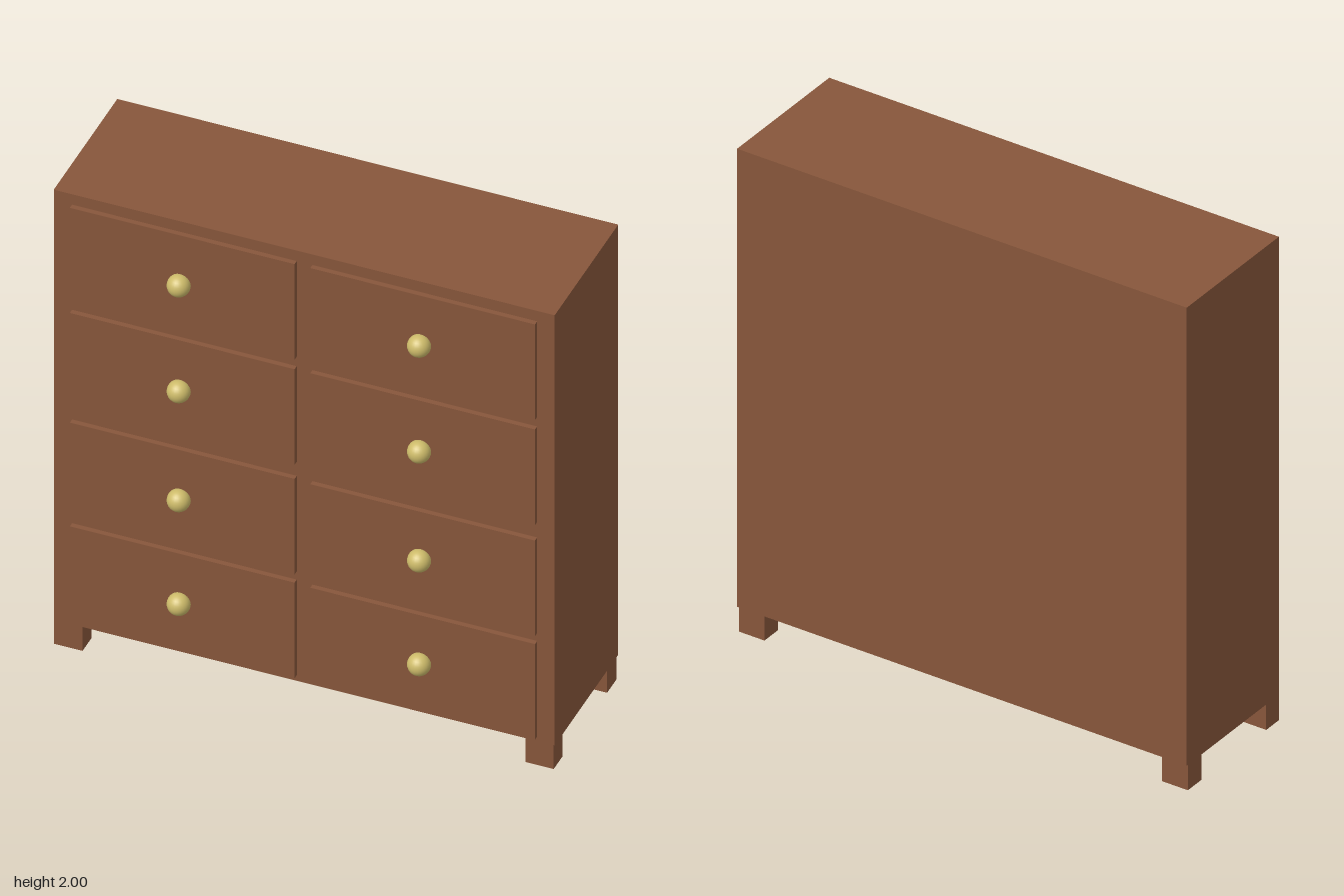
import * as THREE from 'three';

export function createModel() {
  const model = new THREE.Group();
  model.name = 'chestOfDrawers';

  const wood = new THREE.MeshStandardMaterial({ color: 0x87563b });
  wood.name = 'brown wood';
  const brass = new THREE.MeshStandardMaterial({ color: 0xcdbb6a });
  brass.name = 'brass';

  // Box given by its lower and upper limits on each axis
  function box(name, [x0, x1], [y0, y1], [z0, z1]) {
    const mesh = new THREE.Mesh(new THREE.BoxGeometry(x1 - x0, y1 - y0, z1 - z0), wood);
    mesh.position.set((x0 + x1) / 2, (y0 + y1) / 2, (z0 + z1) / 2);
    mesh.name = name;
    model.add(mesh);
  }

  const front = 0.253, back = -0.327, legTop = 0.105;

  // Cabinet: two halves meeting in the middle
  box('cabinetRight', [-0.96, 0], [legTop, 2], [back, front]);
  box('cabinetLeft', [0, 0.957], [legTop, 2], [back, front]);

  // Four short square legs
  for (const [side, x] of [['Right', [-0.96, -0.85]], ['Left', [0.845, 0.953]]]) {
    box('frontLeg' + side, x, [0, legTop], [0.173, front]);
    box('backLeg' + side, x, [0, legTop], [-0.32, -0.235]);
  }

  // Two columns of four drawers, each with a round knob
  const knobGeometry = new THREE.SphereGeometry(0.043, 24, 16);
  const columns = [
    { side: 'Right', x: [-0.89, -0.03], knobX: -0.468, rows: [0.13, 0.587, 1.07, 1.533] },
    { side: 'Left', x: [0.03, 0.89], knobX: 0.452, rows: [0.125, 0.581, 1.07, 1.533] },
  ];
  const knobHeights = [0.34, 0.797, 1.277, 1.743];
  for (const { side, x, knobX, rows } of columns) {
    rows.forEach((y, i) => {
      box(`drawer${side}${i + 1}`, x, [y, y + 0.421], [front - 0.01, 0.273]);
      const knob = new THREE.Mesh(knobGeometry, brass);
      knob.position.set(knobX, knobHeights[i], 0.286);
      knob.name = `knob${side}${i + 1}`;
      model.add(knob);
    });
  }

  return model;
}
